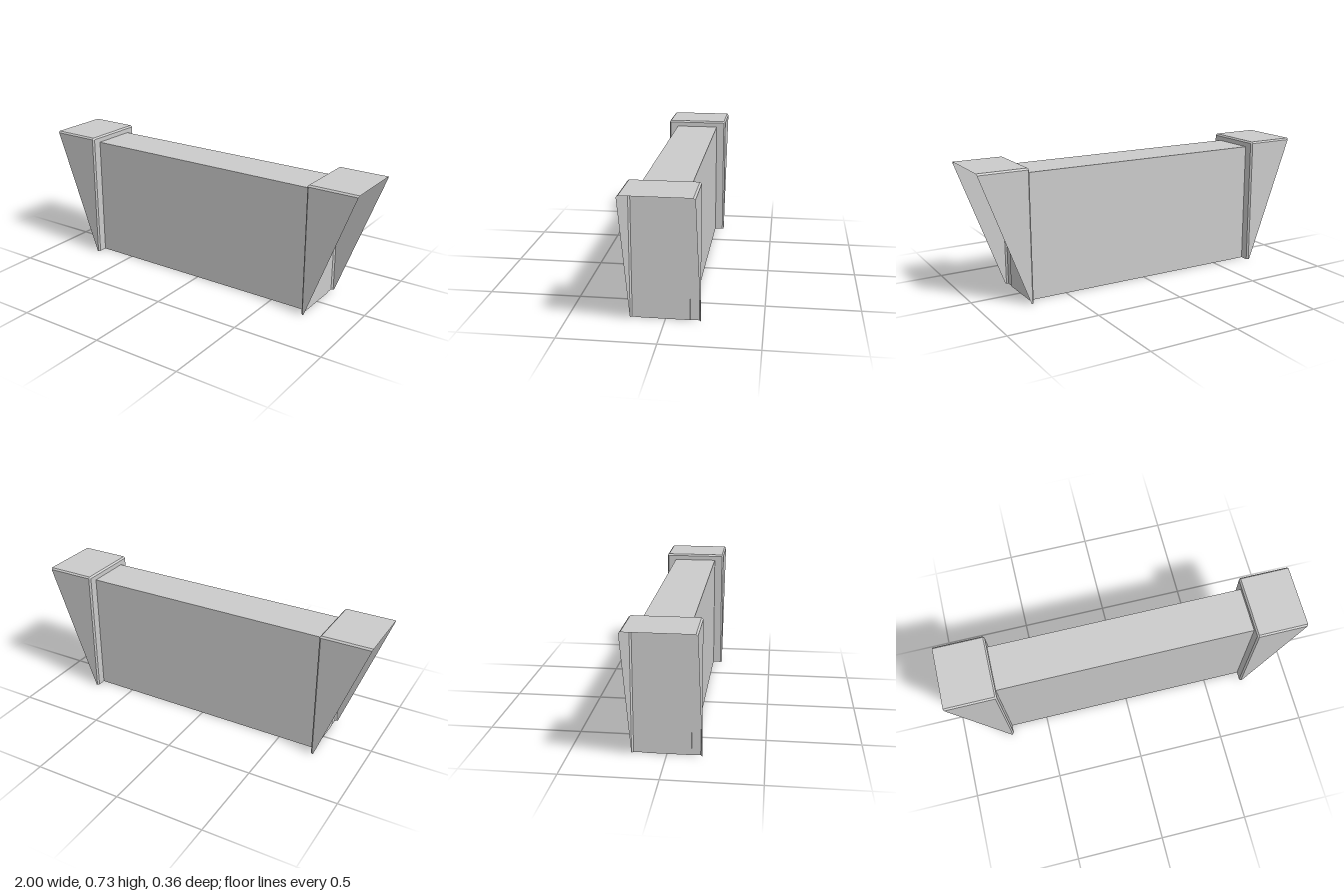
import * as THREE from 'three';

const H = 0.733;      // bracket height
const INNER = 0.715;  // inner face of each bracket
const HALF = 0.182;   // half depth of each bracket
const C = 0.009;      // chamfer size

const outerX = (y) => 0.73 + (0.27 * y) / H;

// Plan section of the shell: open on the sloping outer side
function section(y, inset) {
  const x = INNER + inset, z = HALF - inset, o = outerX(y);
  const c = C - inset;
  const half = [[o, z], [x + c, z], [x, z - c]];
  return [...half, ...half.slice().reverse().map(([px, pz]) => [px, -pz])]
    .map(([px, pz]) => [px, y, pz]);
}

// Hollow tapered end bracket: two side plates, inner flange, chamfered lid
function bracketGeometry() {
  const rows = [section(0, 0), section(H - C, 0), section(H, C)];
  const pos = [];
  const quad = (a, b, c, d) => pos.push(...a, ...b, ...c, ...a, ...c, ...d);
  for (let r = 0; r < 2; r++) {
    for (let i = 0; i < 5; i++) {
      quad(rows[r][i], rows[r + 1][i], rows[r + 1][i + 1], rows[r][i + 1]);
    }
  }
  const t = rows[2];
  quad(t[0], t[5], t[4], t[1]);
  const g = new THREE.BufferGeometry();
  g.setAttribute('position', new THREE.Float32BufferAttribute(pos, 3));
  g.computeVertexNormals();
  return g;
}

export function createModel() {
  const model = new THREE.Group();
  model.name = 'beamWithEndBrackets';
  const solid = new THREE.MeshStandardMaterial({ color: 0xcccccc, flatShading: true });
  const sheet = new THREE.MeshStandardMaterial({
    color: 0xcccccc, flatShading: true, side: THREE.DoubleSide,
  });

  // Central panel, its ends just through the flanges
  const panel = new THREE.Mesh(new THREE.BoxGeometry(2 * INNER + 0.006, 0.698, 0.254), solid);
  panel.name = 'centrePanel';
  panel.position.y = 0.349;
  model.add(panel);

  // Mirrored end brackets
  const geometry = bracketGeometry();
  for (const side of [1, -1]) {
    const bracket = new THREE.Mesh(geometry, sheet);
    bracket.name = side > 0 ? 'leftBracket' : 'rightBracket';
    if (side < 0) bracket.rotation.y = Math.PI;
    model.add(bracket);
  }
  return model;
}
